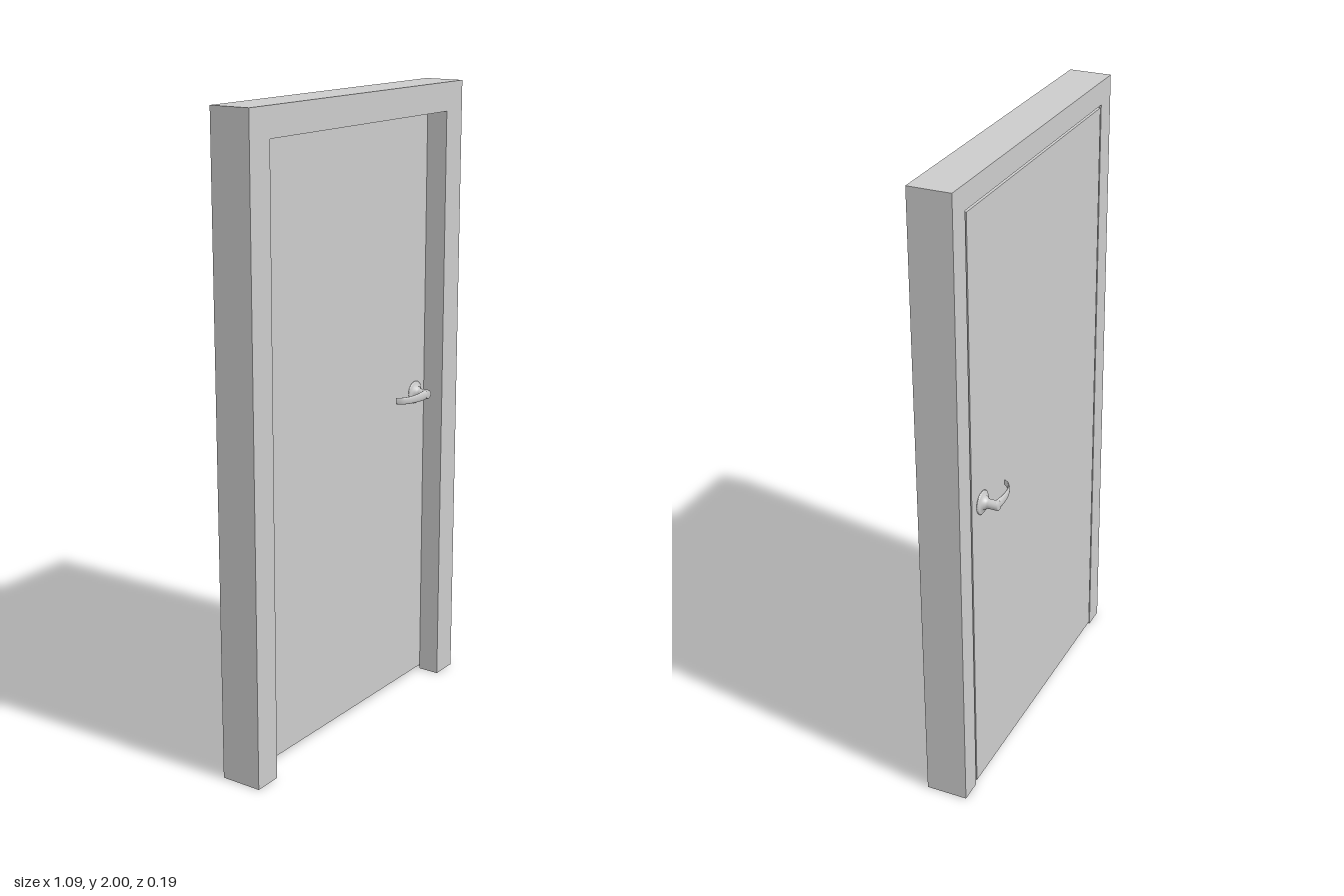
import * as THREE from 'three';

const grey = new THREE.MeshStandardMaterial({ color: 0xcccccc, side: THREE.DoubleSide });

function mesh(name, geometry) {
  const m = new THREE.Mesh(geometry, grey);
  m.name = name;
  return m;
}

// Rabbeted frame profile [half width, z], swept up one jamb, over the head and down the other
function frameGeometry() {
  const profile = [
    [0.545, 0.0945], [0.545, -0.0385], [0.472, -0.0385],
    [0.472, 0.024], [0.455, 0.024], [0.455, 0.0945],
  ];
  const station = (i, [w, z]) => [i < 2 ? w : -w, i === 1 || i === 2 ? w + 1.455 : 0, z];
  const pos = [];
  for (let i = 0; i < 3; i++) {
    profile.forEach((p, j) => {
      const q = profile[(j + 1) % profile.length];
      const a = station(i, p), b = station(i, q), c = station(i + 1, q), d = station(i + 1, p);
      pos.push(...a, ...b, ...c, ...a, ...c, ...d);
    });
  }
  const g = new THREE.BufferGeometry();
  g.setAttribute('position', new THREE.Float32BufferAttribute(pos, 3));
  g.computeVertexNormals();
  return g;
}

// Curved lever: elliptical rings along a bent path, z measured out from the door face
function leverGeometry() {
  const v = (x, y, z) => new THREE.Vector3(x, y, z);
  // [x, z, half thickness, half height]
  const keys = [
    [0.012, 0.049, 0.004, 0.008], [0.006, 0.048, 0.009, 0.014], [-0.012, 0.048, 0.009, 0.0155],
    [-0.03, 0.0495, 0.0065, 0.015], [-0.06, 0.049, 0.005, 0.0135], [-0.09, 0.0435, 0.004, 0.012],
    [-0.115, 0.031, 0.003, 0.0115], [-0.129, 0.013, 0.0015, 0.01],
  ];
  const path = new THREE.CatmullRomCurve3(keys.map(k => v(k[0], 0, k[1])));
  const size = new THREE.CatmullRomCurve3(keys.map(k => v(k[2], k[3], 0)), false, 'catmullrom');
  const rings = 30, sides = 16, pos = [], index = [];
  for (let i = -1; i <= rings + 1; i++) {
    const t = THREE.MathUtils.clamp(i / rings, 0, 1);
    const closed = i < 0 || i > rings ? 0 : 1; // end rings shrink to a point
    const c = path.getPoint(t), s = size.getPoint(t), d = path.getTangent(t);
    for (let j = 0; j < sides; j++) {
      const a = (j / sides) * Math.PI * 2;
      const n = Math.cos(a) * s.x * closed;
      pos.push(c.x + d.z * n, Math.sin(a) * s.y * closed, c.z - d.x * n);
      if (i <= rings) {
        const r = (i + 1) * sides, k = (j + 1) % sides;
        index.push(r + j, r + k, r + sides + k, r + j, r + sides + k, r + sides + j);
      }
    }
  }
  const g = new THREE.BufferGeometry();
  g.setAttribute('position', new THREE.Float32BufferAttribute(pos, 3));
  g.setIndex(index);
  g.computeVertexNormals();
  return g;
}

// Round rosette, collar and stem turned as one profile, plus the lever
function createHandle(name) {
  const handle = new THREE.Group();
  handle.name = name;
  const profile = [
    [0, 0], [0.037, 0], [0.037, 0.004], [0.033, 0.007], [0.022, 0.008], [0.02, 0.015],
    [0.016, 0.018], [0.0145, 0.024], [0.0145, 0.054], [0.012, 0.057], [0, 0.057],
  ].map(([r, h]) => new THREE.Vector2(r, h));
  const stem = mesh('rosetteAndStem', new THREE.LatheGeometry(profile, 32));
  stem.rotation.x = Math.PI / 2;
  handle.add(stem, mesh('lever', leverGeometry()));
  return handle;
}

export function createModel() {
  const model = new THREE.Group();
  model.name = 'door';

  model.add(mesh('frame', frameGeometry()));

  // Door leaf, flush with the back of the frame
  const leaf = mesh('doorLeaf', new THREE.BoxGeometry(0.93, 1.908, 0.0605));
  leaf.position.set(0, 0.966, -0.00825);
  model.add(leaf);

  // One handle per face; the back one is turned over about x
  const front = createHandle('frontHandle');
  front.position.set(0.4, 1.003, 0.022);
  const back = createHandle('backHandle');
  back.position.set(0.4, 1.003, -0.0385);
  back.rotation.x = Math.PI;
  model.add(front, back);

  return model;
}
